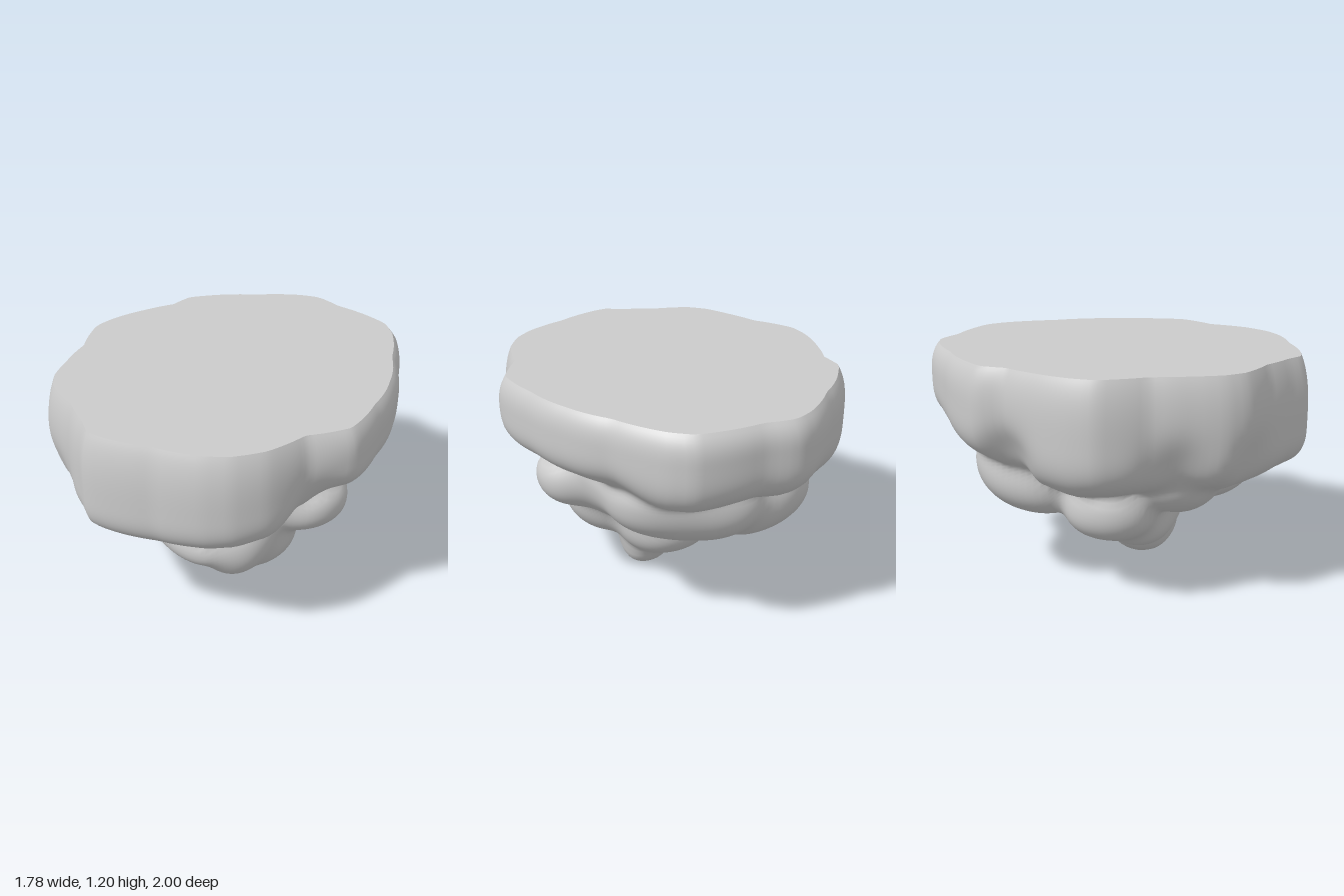
import * as THREE from 'three';

const TOP = 1.2;

// Upper ledge: outline corners [x, z, underside height], turning from +x towards +z
const LEDGE = [
  [0.89, 0, 0.77], [0.8, 0.22, 0.68], [0.79, 0.45, 0.6], [0.72, 0.61, 0.58], [0.63, 0.71, 0.57],
  [0.42, 0.84, 0.56], [0.2, 0.97, 0.56], [0.11, 1.0, 0.56], [0, 0.96, 0.55], [-0.18, 0.91, 0.53], [-0.4, 0.88, 0.54],
  [-0.5, 0.81, 0.56], [-0.6, 0.67, 0.58], [-0.7, 0.5, 0.55], [-0.87, 0.3, 0.54], [-0.89, 0.18, 0.53],
  [-0.87, -0.05, 0.55], [-0.83, -0.22, 0.61], [-0.85, -0.36, 0.62], [-0.8, -0.46, 0.63], [-0.62, -0.7, 0.65],
  [-0.45, -0.9, 0.68], [-0.34, -0.97, 0.7], [-0.17, -0.97, 0.71], [0.18, -1.0, 0.69], [0.29, -0.94, 0.69],
  [0.5, -0.71, 0.73], [0.68, -0.5, 0.76], [0.8, -0.26, 0.77],
].map(([x, z, b]) => ({
  a: (Math.atan2(z, x) + 2 * Math.PI) % (2 * Math.PI), r: Math.hypot(x, z), b,
}));

// Boulders under the ledge: centre x, y, z and half sizes
const BOULDERS = [
  [0.03, 0.68, -0.02, 0.56, 0.34, 0.56],
  [0.06, 0.66, -0.42, 0.42, 0.24, 0.34],
  [-0.32, 0.6, -0.28, 0.34, 0.26, 0.34],
  [0.44, 0.63, -0.04, 0.27, 0.18, 0.22],
  [0.32, 0.5, 0.28, 0.24, 0.23, 0.22],
  [0.2, 0.5, 0.42, 0.28, 0.15, 0.2],
  [-0.24, 0.64, 0.44, 0.28, 0.2, 0.25],
  [-0.38, 0.48, 0.14, 0.25, 0.19, 0.26],
  [-0.16, 0.38, 0.2, 0.27, 0.19, 0.22],
  [0.3, 0.4, 0.1, 0.24, 0.18, 0.22],
  [0.05, 0.36, -0.02, 0.3, 0.23, 0.28],
  [0.13, 0.2, 0.07, 0.16, 0.2, 0.18],
  [0.0, 0.24, 0.16, 0.2, 0.16, 0.18],
];

// Hollows pressed into the ledge: centre, depth, width
const HOLLOWS = [
  [0.85, 0.8, 0.14, 0.08, 0.13], [-0.64, 0.72, 0.62, 0.07, 0.14], [-0.35, 0.7, 0.92, 0.06, 0.15],
  [-0.82, 0.75, -0.2, 0.08, 0.13], [-0.52, 0.72, -0.82, 0.05, 0.13], [0.5, 0.75, -0.68, 0.05, 0.14],
];

// Straight outline edges between the corners
function ledgeAt(angle) {
  const a = (angle + 4 * Math.PI) % (2 * Math.PI), n = LEDGE.length;
  let i = n - 1;
  while (i > 0 && LEDGE[i].a > a) i--;
  const p = LEDGE[i], q = LEDGE[(i + 1) % n];
  const t = (a - p.a) / (((q.a - p.a) + 2 * Math.PI) % (2 * Math.PI));
  return [1 / (1 / p.r + (1 / q.r - 1 / p.r) * t), p.b + (q.b - p.b) * t * t * (3 - 2 * t)];
}

function ledgeField(x, y, z) {
  const [r, b] = ledgeAt(Math.atan2(z, x));
  const mid = (TOP + b) / 2 + 0.04 - 0.06 * z;
  const q = y < mid ? ((mid - y) / (mid - b)) ** 3.6 : 0.16 * ((y - mid) / (TOP - mid)) ** 3;
  let d = (((Math.hypot(x, z) / r) ** 3.6 + q) ** (1 / 3.6) - 1) * 0.4;
  for (const [hx, hy, hz, depth, w] of HOLLOWS) {
    const s = ((x - hx) ** 2 + (y - hy) ** 2 + (z - hz) ** 2) / (w * w);
    d += depth * 0.5 * Math.exp(-s);
  }
  return d;
}

function smoothMin(a, b, k) {
  const h = Math.max(k - Math.abs(a - b), 0) / k;
  return Math.min(a, b) - h * h * k * 0.25;
}

// Signed field of the whole rock, negative inside
function rockField(x, y, z) {
  let d = ledgeField(x, y, z);
  // a gentle warp keeps the boulders irregular
  const wx = x + 0.02 * Math.sin(7 * y + 4 * z);
  const wy = y + 0.015 * Math.sin(7 * x - 5 * z) * Math.min(1, y * 3);
  const wz = z + 0.02 * Math.sin(6 * x + 6 * y);
  for (const [cx, cy, cz, a, b, c] of BOULDERS) {
    const n = Math.abs((wx - cx) / a) ** 2.2 + Math.abs((wy - cy) / b) ** 2.2 + Math.abs((wz - cz) / c) ** 2.2;
    d = smoothMin(d, (n ** (1 / 2.2) - 1) * Math.min(a, b, c), 0.04);
  }
  return d;
}

// Walk inwards along a ray until the rock is met
function surfacePoint(o, dir) {
  const f = (t) => rockField(o.x + dir.x * t, o.y + dir.y * t, o.z + dir.z * t);
  let t = 1.5, prev = t;
  for (let d = f(t); d > 0 && t > 0.02; d = f(t)) {
    prev = t;
    t -= Math.max(0.003, d * 0.35);
  }
  let lo = t, hi = prev;
  for (let i = 0; i < 12; i++) {
    const m = (lo + hi) / 2;
    if (f(m) > 0) hi = m; else lo = m;
  }
  return o.clone().addScaledVector(dir, lo);
}

export function createModel() {
  const group = new THREE.Group();
  group.name = 'floatingRock';
  const material = new THREE.MeshStandardMaterial({ color: 0xcccccc });
  const origin = new THREE.Vector3(0.1, TOP, 0.04);
  const SEG = 160, RINGS = 96;

  // Rock sides and underside: rings from the rim down to the tip
  const pos = [], idx = [], rim = [];
  for (let j = 0; j < RINGS; j++) {
    const phi = (j / RINGS) * Math.PI / 2;
    for (let i = 0; i < SEG; i++) {
      const th = (i / SEG) * Math.PI * 2;
      const dir = new THREE.Vector3(Math.cos(phi) * Math.cos(th), -Math.sin(phi), Math.cos(phi) * Math.sin(th));
      const p = surfacePoint(origin, dir);
      pos.push(p.x, p.y, p.z);
      if (j === 0) rim.push(new THREE.Vector2(p.x, -p.z));
    }
  }
  const tip = surfacePoint(origin, new THREE.Vector3(0, -1, 0));
  pos.push(tip.x, tip.y, tip.z);
  for (let j = 0; j < RINGS; j++) {
    for (let i = 0; i < SEG; i++) {
      const a = j * SEG + i, b = j * SEG + (i + 1) % SEG;
      if (j === RINGS - 1) idx.push(a, b, RINGS * SEG);
      else idx.push(a, b, b + SEG, a, b + SEG, a + SEG);
    }
  }
  const rockGeo = new THREE.BufferGeometry();
  rockGeo.setAttribute('position', new THREE.Float32BufferAttribute(pos, 3));
  rockGeo.setIndex(idx);
  rockGeo.computeVertexNormals();
  const rock = new THREE.Mesh(rockGeo, material);
  rock.name = 'rockUnderside';
  group.add(rock);

  // Flat top surface
  const topGeo = new THREE.ShapeGeometry(new THREE.Shape(rim)).rotateX(-Math.PI / 2).translate(0, TOP, 0);
  const top = new THREE.Mesh(topGeo, material);
  top.name = 'flatTop';
  group.add(top);
  return group;
}
